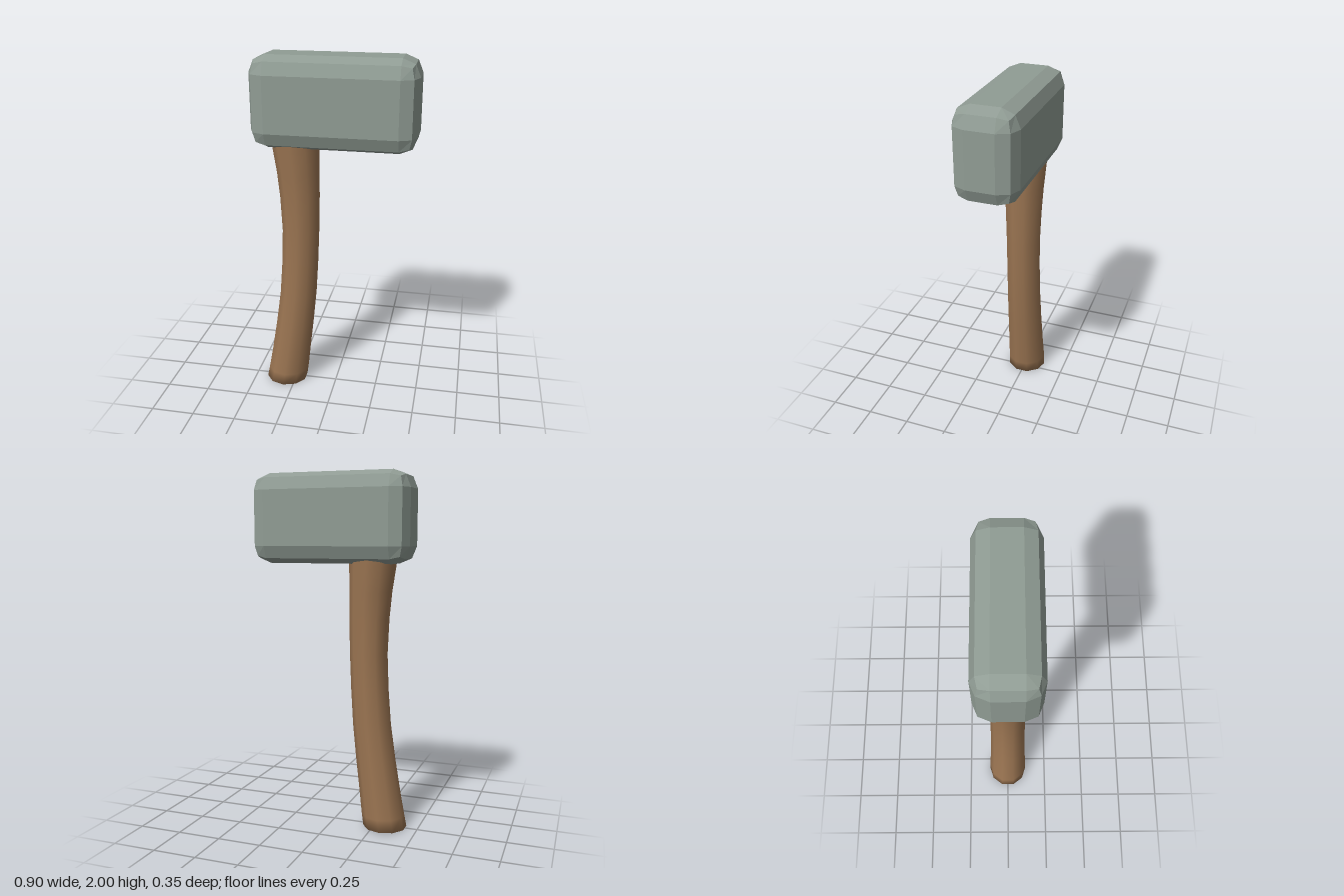
import * as THREE from 'three';
import { mergeVertices } from 'three/addons/utils/BufferGeometryUtils.js';
import { RoundedBoxGeometry } from 'three/addons/geometries/RoundedBoxGeometry.js';

const SIDES = 10;

// handle stations: height, centre x, radius
const STATIONS = [
  [0, -0.309, 0.12], [0.07, -0.297, 0.118], [0.2, -0.278, 0.113], [0.4, -0.25, 0.108],
  [0.6, -0.226, 0.104], [0.8, -0.212, 0.102], [1.0, -0.204, 0.102], [1.2, -0.206, 0.108],
  [1.35, -0.213, 0.115], [1.5, -0.224, 0.126], [1.6, -0.23, 0.13],
];

// smooth ten-sided shaft that follows the stations
function shaftGeometry() {
  const rows = STATIONS.length - 1;
  let geo = new THREE.CylinderGeometry(1, 1, rows, SIDES, rows, true);
  geo.deleteAttribute('uv');
  geo.deleteAttribute('normal');
  const pos = geo.attributes.position;
  for (let i = 0; i < pos.count; i++) {
    const [y, cx, r] = STATIONS[Math.round(pos.getY(i) + rows / 2)];
    pos.setXYZ(i, cx + pos.getX(i) * r * 1.04, y, pos.getZ(i) * r);
  }
  geo = mergeVertices(geo, 1e-4);
  geo.computeVertexNormals();

  // soften the bottom rim by turning its normals downward
  const n = new THREE.Vector3();
  for (let i = 0; i < geo.attributes.position.count; i++) {
    if (geo.attributes.position.getY(i) > 0.01) continue;
    n.fromBufferAttribute(geo.attributes.normal, i);
    n.y -= 0.7;
    n.normalize();
    geo.attributes.normal.setXYZ(i, n.x, n.y, n.z);
  }
  return geo;
}

export function createModel() {
  const stone = new THREE.MeshStandardMaterial({ color: 0x909c94, flatShading: true });
  stone.name = 'grey stone';
  const wood = new THREE.MeshStandardMaterial({ color: 0x9b7552 });
  wood.name = 'brown wood';

  const model = new THREE.Group();
  model.name = 'mallet';

  // bevelled block head
  const head = new THREE.Mesh(new RoundedBoxGeometry(0.904, 0.496, 0.346, 1, 0.095), stone);
  head.name = 'head';
  head.position.y = 1.752;

  // curved handle, sunk into the head
  const handle = new THREE.Group();
  handle.name = 'handle';
  const shaft = new THREE.Mesh(shaftGeometry(), wood);
  shaft.name = 'handleShaft';

  // flat butt end
  const [, cx, r] = STATIONS[0];
  const capGeo = new THREE.CircleGeometry(r, SIDES, Math.PI / 2);
  capGeo.rotateX(Math.PI / 2);
  capGeo.scale(1.04, 1, 1);
  const cap = new THREE.Mesh(capGeo, wood);
  cap.name = 'handleEnd';
  cap.position.x = cx;
  handle.add(shaft, cap);

  model.add(head, handle);
  return model;
}
